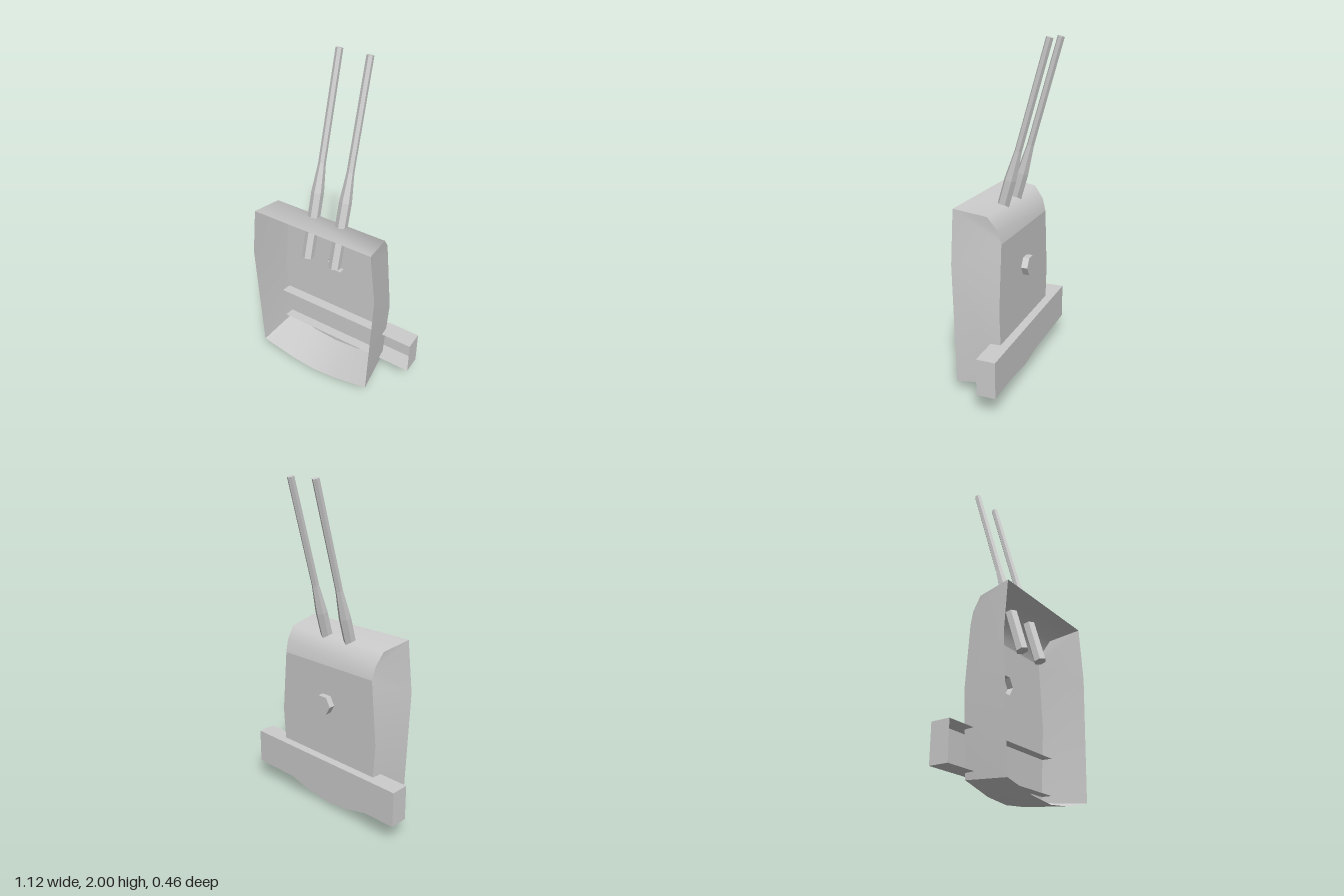
import * as THREE from 'three';
import { mergeGeometries, toCreasedNormals } from 'three/addons/utils/BufferGeometryUtils.js';

const smooth = new THREE.MeshStandardMaterial({ color: 0xcccccc, side: THREE.DoubleSide });
const flat = new THREE.MeshStandardMaterial({ color: 0xcccccc, side: THREE.DoubleSide, flatShading: true });

function addMesh(parent, name, geometry, material) {
  const mesh = new THREE.Mesh(geometry, material);
  mesh.name = name;
  parent.add(mesh);
  return mesh;
}

// Ribbon of quads between two equally long point lists
function ribbon(a, b) {
  const pos = [];
  for (let i = 0; i < a.length - 1; i++) {
    pos.push(...a[i], ...b[i], ...b[i + 1], ...a[i], ...b[i + 1], ...a[i + 1]);
  }
  const g = new THREE.BufferGeometry();
  g.setAttribute('position', new THREE.Float32BufferAttribute(pos, 3));
  return g;
}

const mirrorX = ([x, y, z]) => [-x, y, z];
// Completes a half outline that ends on the centre line
const fullSpan = (half) => [...half, ...half.slice(0, -1).reverse().map(mirrorX)];

const KNOB_Y = 0.695, KNOB_R = 0.061, BACK_Z = -0.04;

function shieldGeometry() {
  const rimTop = [0.38, 1.11, 0.228];
  const rimMid = [0.415, 0.8, 0.228];
  const rimLow = [0.382, 0.07, 0.23];
  const roof = [[0.36, 1.08, 0.035], [0.35, 1.005, -0.02], [0.345, 0.93, BACK_Z]];
  const backMid = [0.38, 0.545, BACK_Z];
  const backLow = [0.35, 0.095, BACK_Z];

  // Curved roof
  const roofEdge = [rimTop, ...roof];
  const parts = [ribbon(roofEdge, roofEdge.map(mirrorX))];

  // Side walls
  const outer = [rimTop, rimTop, rimMid, rimMid, rimLow];
  const inner = [...roof, backMid, backLow];
  parts.push(ribbon(outer, inner), ribbon(inner.map(mirrorX), outer.map(mirrorX)));

  // Bowed bottom
  const lowFront = fullSpan([rimLow, [0.16, 0.02, 0.23], [0, 0.004, 0.23]]);
  const lowBack = fullSpan([backLow, [0.16, 0.045, BACK_Z], [0, 0.03, BACK_Z]]);
  parts.push(ribbon(lowFront, lowBack));

  // Back plate with a hexagonal opening for the knob
  const outline = [[-0.345, 0.93], [0.345, 0.93], [0.38, 0.545],
    ...lowBack.map(([x, y]) => [x, y]), [-0.38, 0.545]];
  const shape = new THREE.Shape(outline.map(([x, y]) => new THREE.Vector2(x, y)));
  const hex = [];
  for (let i = 0; i < 6; i++) {
    const t = i * Math.PI / 3;
    hex.push(new THREE.Vector2(KNOB_R * Math.cos(t), KNOB_Y + KNOB_R * Math.sin(t)));
  }
  shape.holes.push(new THREE.Path(hex));
  const plate = new THREE.ShapeGeometry(shape).toNonIndexed();
  plate.deleteAttribute('uv');
  plate.deleteAttribute('normal');
  // Turn the plate to face backwards like the rest of the skin
  const p = plate.attributes.position;
  for (let i = 0; i < p.count; i += 3) {
    const b = [p.getX(i + 1), p.getY(i + 1)];
    p.setXY(i + 1, p.getX(i + 2), p.getY(i + 2));
    p.setXY(i + 2, ...b);
  }
  parts.push(plate.translate(0, 0, BACK_Z));

  const g = mergeGeometries(parts);
  g.computeVertexNormals();
  return toCreasedNormals(g, 0.9);
}

function lathe(points, phiStart = 0) {
  return new THREE.LatheGeometry(points.map(([r, y]) => new THREE.Vector2(r, y)), 6, phiStart);
}

export function createModel() {
  const model = new THREE.Group();
  model.name = 'twinGunMount';

  addMesh(model, 'shield', shieldGeometry(), smooth);

  // Crossbeam trough, open towards the front
  const beam = new THREE.BoxGeometry(1.12, 0.215, 0.112);
  const open = beam.groups[4];
  beam.setIndex([...beam.index.array].filter((_, i) => i < open.start || i >= open.start + open.count));
  beam.clearGroups();
  addMesh(model, 'crossbeam', beam, flat).position.set(0, 0.237, -0.036);

  // Hollow hexagonal knob on the back
  const knob = lathe([[KNOB_R, 0], [KNOB_R, 0.038], [0, 0.038]], Math.PI / 6);
  knob.rotateX(-Math.PI / 2);
  addMesh(model, 'knob', knob, flat).position.set(0, KNOB_Y, BACK_Z);

  // Pair of six-sided barrels leaning back
  const barrel = lathe([[0, 0], [0.036, 0], [0.036, 0.41], [0.0215, 0.583], [0.0205, 1.212], [0, 1.212]]);
  for (const [name, x] of [['leftBarrel', 0.092], ['rightBarrel', -0.092]]) {
    const mesh = addMesh(model, name, barrel, flat);
    mesh.position.set(x, 0.83, 0.126);
    mesh.rotation.x = -0.28;
  }
  return model;
}
